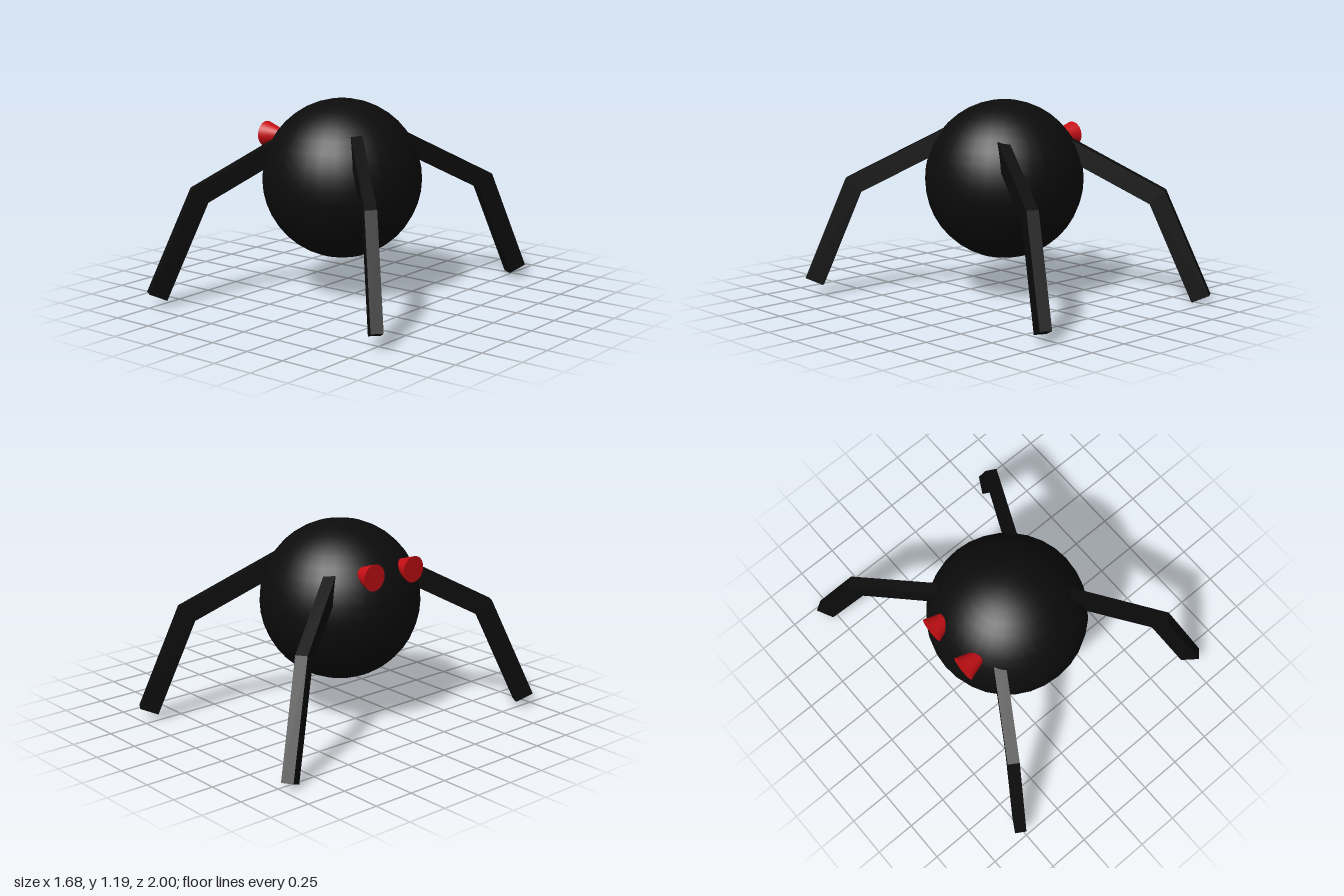
import * as THREE from 'three';

const black = new THREE.MeshStandardMaterial({ color: 0x0c0c0c });
const red = new THREE.MeshStandardMaterial({ color: 0xc80f14 });
const CENTRE = new THREE.Vector3(-0.075, 0.714, 0.025);
const LEG_WIDTH = 0.07;
const LEG_DEPTH = 0.115;

// Bent leg: a mitred side profile through hip, knee and foot, extruded to its width
function makeLeg(name, knee, foot) {
  const dx = foot[0] - knee[0], dz = foot[2] - knee[2];
  const reach = Math.hypot(dx, dz);
  const inward = Math.hypot(knee[0] - CENTRE.x, knee[2] - CENTRE.z) - 0.33;
  const line = [
    new THREE.Vector2(-inward, knee[1] + inward * 0.51),
    new THREE.Vector2(0, knee[1]),
    new THREE.Vector2(reach, foot[1]),
  ];
  const normal = (a, b) => {
    const d = b.clone().sub(a).normalize();
    return new THREE.Vector2(-d.y, d.x);
  };
  const n1 = normal(line[0], line[1]), n2 = normal(line[1], line[2]);
  const mitre = n1.clone().add(n2).divideScalar(1 + n1.dot(n2));
  const normals = [n1, mitre, n2];
  const offset = (s) => line.map((p, i) => p.clone().addScaledVector(normals[i], s * LEG_DEPTH / 2));
  const shape = new THREE.Shape([...offset(-1), ...offset(1).reverse()]);
  const geometry = new THREE.ExtrudeGeometry(shape, { depth: LEG_WIDTH, bevelEnabled: false });
  geometry.translate(0, 0, -LEG_WIDTH / 2);
  const leg = new THREE.Mesh(geometry, black);
  leg.name = name;
  leg.position.set(knee[0], 0, knee[2]);
  leg.rotation.y = Math.atan2(-dz, dx);
  return leg;
}

// Flat-faced eye tapering into the body
function makeEye(name, x, y, z) {
  const geometry = new THREE.ConeGeometry(0.078, 0.24, 32);
  geometry.translate(0, 0.12, 0);
  geometry.rotateZ(-Math.PI / 2);
  const eye = new THREE.Mesh(geometry, red);
  eye.name = name;
  eye.position.set(x, y, z);
  return eye;
}

export function createModel() {
  const model = new THREE.Group();
  model.name = 'spider';

  // Round body
  const body = new THREE.Mesh(new THREE.SphereGeometry(0.48, 32, 20), black);
  body.name = 'body';
  body.position.copy(CENTRE);
  model.add(body);

  // Four legs, each standing a little differently
  model.add(
    makeLeg('frontLeftLeg', [0.6, 0.68, 0.635], [0.775, 0.085, 0.808]),
    makeLeg('frontRightLeg', [-0.608, 0.65, 0.703], [-0.749, 0.06, 0.933]),
    makeLeg('backLeftLeg', [0.443, 0.648, -0.725], [0.557, 0.058, -0.942]),
    makeLeg('backRightLeg', [-0.63, 0.63, -0.718], [-0.78, 0.025, -0.942]),
  );

  // Pair of eyes
  model.add(
    makeEye('backEye', -0.525, 0.957, -0.11),
    makeEye('frontEye', -0.535, 0.957, 0.185),
  );
  return model;
}
